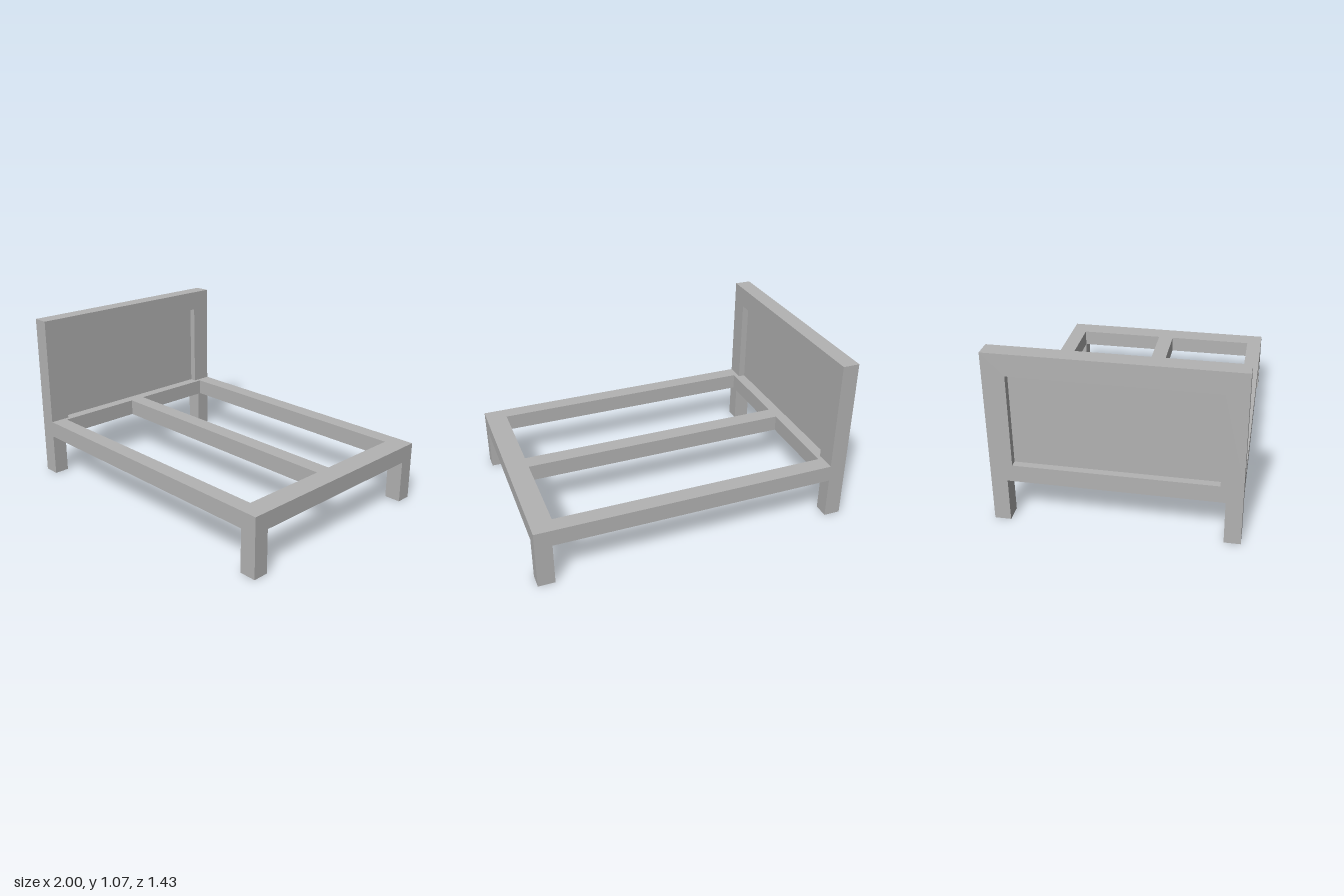
import * as THREE from 'three';

const HALF_W = 0.716;             // half width of the bed (z)
const RAIL_BOTTOM = 0.27, RAIL_TOP = 0.375;
const POST = 0.105;               // thickness of headboard and legs along x
const TOP = 1.07;

const polygon = (points, Type = THREE.Shape) =>
  new Type(points.map(([x, y]) => new THREE.Vector2(x, y)));

const rectangle = (x0, x1, y0, y1, Type) =>
  polygon([[x0, y0], [x1, y0], [x1, y1], [x0, y1]], Type);

export function createModel() {
  const bed = new THREE.Group();
  bed.name = 'bedFrame';
  const grey = new THREE.MeshStandardMaterial({ color: 0xb3b3b3 });
  grey.name = 'grey';

  const add = (name, geometry) => {
    const mesh = new THREE.Mesh(geometry, grey);
    mesh.name = name;
    bed.add(mesh);
    return mesh;
  };
  const addBox = (name, x0, x1, y0, y1, z0, z1) =>
    add(name, new THREE.BoxGeometry(x1 - x0, y1 - y0, z1 - z0))
      .position.set((x0 + x1) / 2, (y0 + y1) / 2, (z0 + z1) / 2);

  // Rails: one flat frame with an opening on each side of the centre beam
  const rails = rectangle(-1, 1, -HALF_W, HALF_W);
  rails.holes.push(
    rectangle(-0.868, 0.866, 0.045, 0.613, THREE.Path),
    rectangle(-0.868, 0.866, -0.617, -0.058, THREE.Path));
  add('railFrame', new THREE.ExtrudeGeometry(rails, { depth: RAIL_TOP - RAIL_BOTTOM, bevelEnabled: false })
    .rotateX(-Math.PI / 2).translate(0, RAIL_BOTTOM, 0));

  // Headboard surround: two posts and a top rail standing on the frame
  const surround = polygon([
    [-HALF_W, RAIL_TOP], [-0.585, RAIL_TOP], [-0.585, 0.94], [0.588, 0.94],
    [0.588, RAIL_TOP], [HALF_W, RAIL_TOP], [HALF_W, TOP], [-HALF_W, TOP]]);
  add('headboardSurround', new THREE.ExtrudeGeometry(surround, { depth: POST, bevelEnabled: false })
    .rotateY(-Math.PI / 2).translate(-1 + POST, 0, 0));

  // Thin panel set back from both faces of the surround
  addBox('headboardPanel', -0.957, -0.938, RAIL_TOP, 0.94, -0.585, 0.588);

  // Legs at the four corners
  for (const [end, x] of [['head', -1], ['foot', 1 - POST]])
    for (const [side, z] of [['Front', HALF_W - 0.096], ['Back', -HALF_W]])
      addBox(`${end}Leg${side}`, x, x + POST, 0, RAIL_BOTTOM, z, z + 0.096);

  return bed;
}
